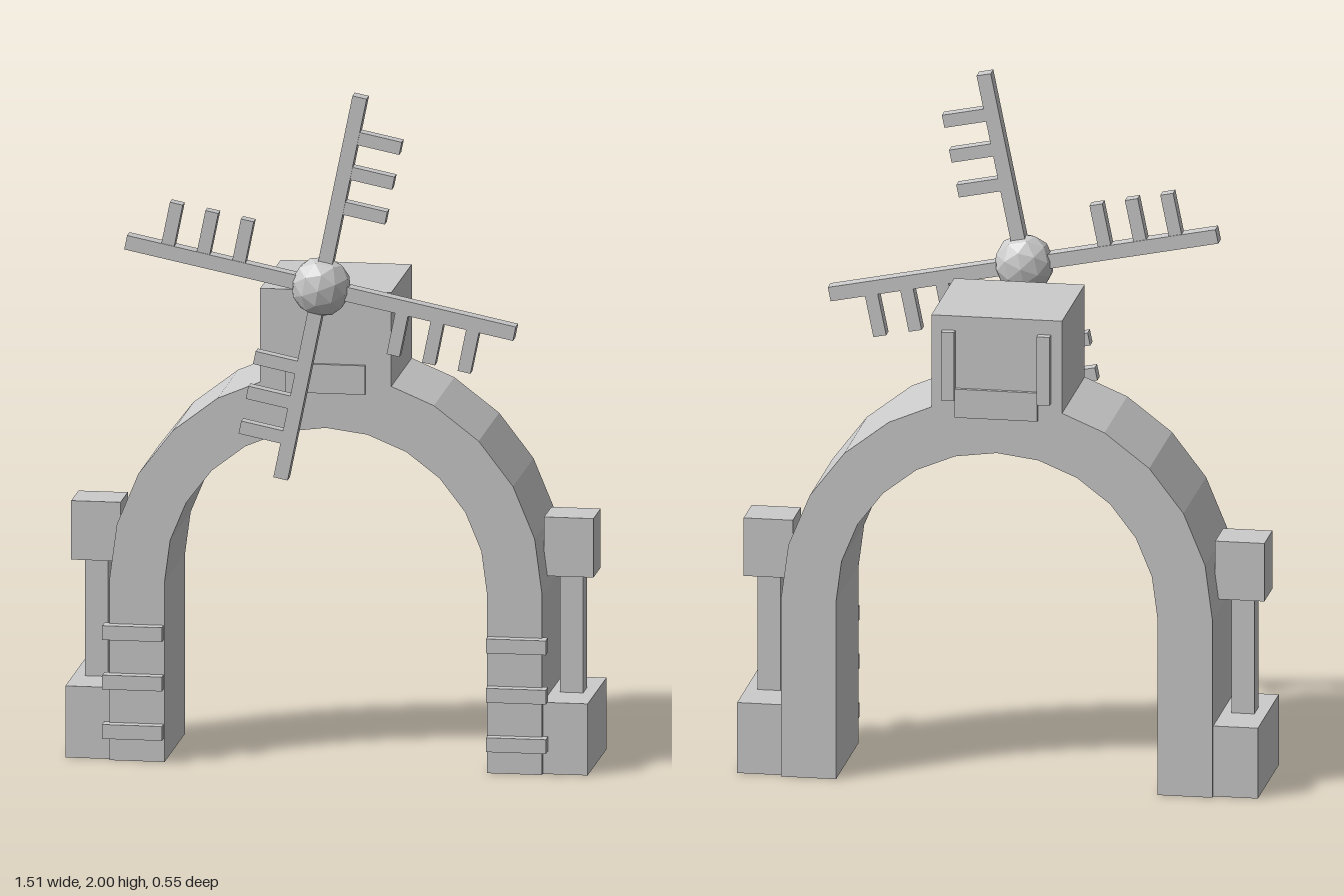
import * as THREE from 'three';

const stone = new THREE.MeshStandardMaterial({ color: 0xcccccc, flatShading: true });
stone.name = 'pale grey';

// Box given by its min and max corners
function box(name, parent, [x0, y0, z0], [x1, y1, z1]) {
  const mesh = new THREE.Mesh(new THREE.BoxGeometry(x1 - x0, y1 - y0, z1 - z0), stone);
  mesh.position.set((x0 + x1) / 2, (y0 + y1) / 2, (z0 + z1) / 2);
  mesh.name = name;
  parent.add(mesh);
  return mesh;
}

// Arch with the square cap house rising from its crown
function makeArch() {
  const outer = 0.627, inner = 0.467, spring = 0.53, back = -0.252, front = 0.125;
  const at = (r, deg) => {
    const a = THREE.MathUtils.degToRad(deg);
    return new THREE.Vector2(r * Math.cos(a), spring + r * Math.sin(a));
  };
  const pts = [new THREE.Vector2(inner, 0), new THREE.Vector2(outer, 0)];
  for (let d = 0; d <= 60; d += 15) pts.push(at(outer, d));
  for (const [x, y] of [[0.19, 1.125], [0.19, 1.4], [-0.19, 1.4], [-0.19, 1.125]]) pts.push(new THREE.Vector2(x, y));
  for (let d = 120; d <= 180; d += 15) pts.push(at(outer, d));
  pts.push(new THREE.Vector2(-outer, 0), new THREE.Vector2(-inner, 0));
  for (let d = 180; d >= 0; d -= 15) pts.push(at(inner, d));
  const geo = new THREE.ExtrudeGeometry(new THREE.Shape(pts), { depth: front - back, bevelEnabled: false });
  geo.translate(0, 0, back);
  const arch = new THREE.Mesh(geo, stone);
  arch.name = 'archAndCap';
  return arch;
}

// Four-armed rotor with comb-like sails
function makeRotor() {
  const rotor = new THREE.Group();
  rotor.name = 'rotor';
  const hub = new THREE.Mesh(new THREE.IcosahedronGeometry(0.088, 1), stone);
  hub.scale.z = 0.77;
  hub.name = 'hub';
  rotor.add(hub);
  for (let i = 0; i < 4; i++) {
    const sail = new THREE.Group();
    sail.name = 'sail';
    box('sailArm', sail, [-0.021, 0, -0.022], [0.021, 0.575, 0.022]);
    for (const y of [0.245, 0.35, 0.455]) {
      box('sailSlat', sail, [0.015, y - 0.019, -0.019], [0.145, y + 0.019, 0.019]);
    }
    sail.rotation.z = i * Math.PI / 2;
    rotor.add(sail);
  }
  rotor.position.set(0, 1.43, 0.208);
  rotor.rotation.z = THREE.MathUtils.degToRad(-11.5);
  return rotor;
}

// Lamp post on a plinth, and the slats on the leg front
function makeSide(side) {
  const group = new THREE.Group();
  group.name = side > 0 ? 'leftSide' : 'rightSide';
  const part = (name, a, b) => {
    const mesh = box(name, group, a, b);
    mesh.position.x *= side;
  };
  part('plinth', [0.5, 0, -0.238], [0.757, 0.21, 0.11]);
  part('lampPost', [0.655, 0.2, -0.097], [0.722, 0.57, -0.03]);
  part('lampHead', [0.614, 0.557, -0.13], [0.757, 0.73, 0.003]);
  for (const y of [0.09, 0.235, 0.38]) {
    part('legSlat', [0.47, y - 0.021, 0.115], [0.643, y + 0.021, 0.157]);
  }
  return group;
}

export function createModel() {
  const model = new THREE.Group();
  model.name = 'windmillArch';
  model.add(makeArch(), makeRotor(), makeSide(1), makeSide(-1));
  // Plaques on the front and back of the cap
  box('frontPlaque', model, [-0.115, 1.1, 0.12], [0.115, 1.185, 0.136]);
  box('backPlaque', model, [-0.12, 1.1, -0.264], [0.12, 1.185, -0.247]);
  // Upright strips on the back of the cap
  for (const x of [-0.139, 0.139]) {
    box('backStrip', model, [x - 0.019, 1.153, -0.277], [x + 0.019, 1.357, -0.247]);
  }
  return model;
}
